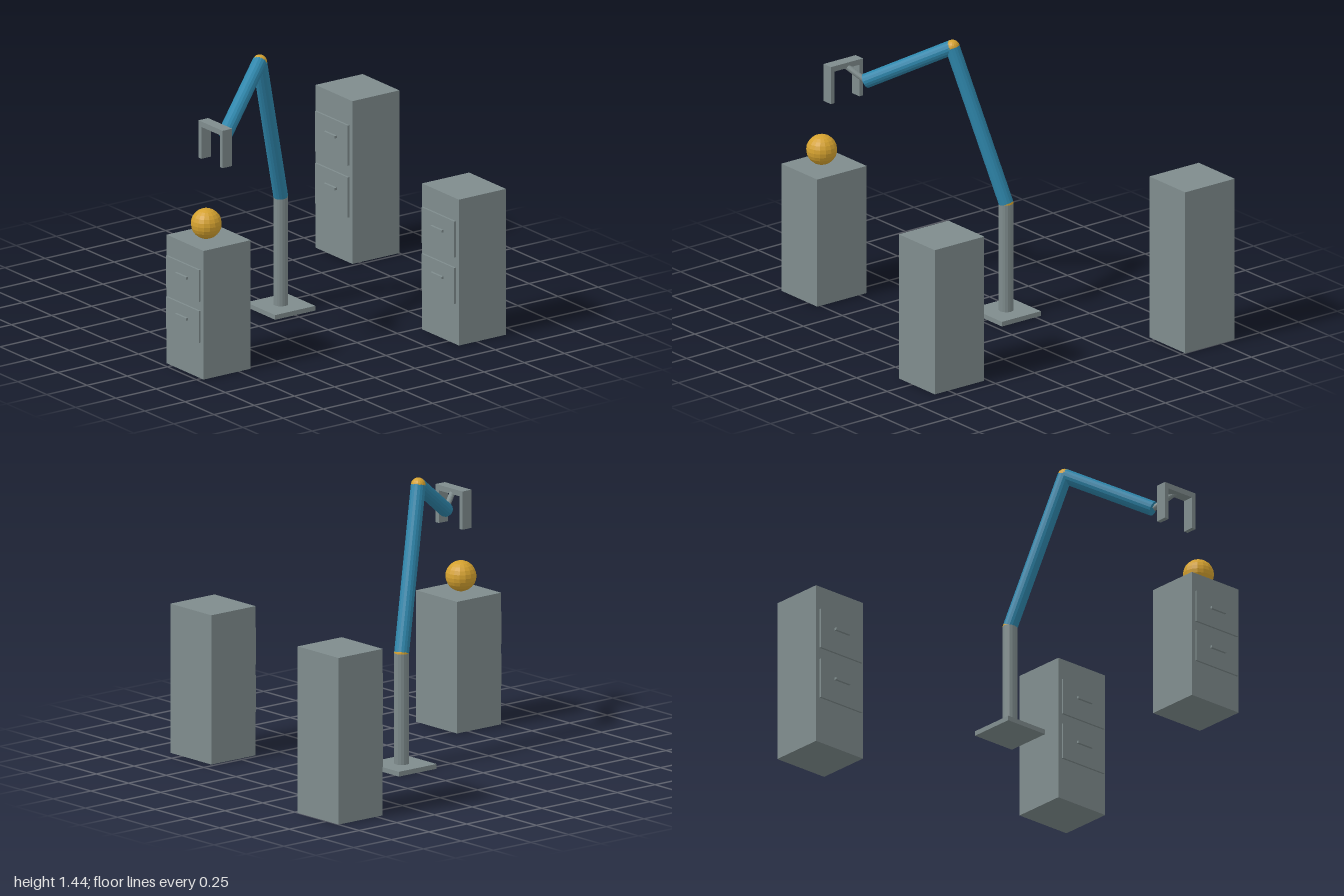
import * as THREE from 'three';

const material = (name, color) => {
  const m = new THREE.MeshStandardMaterial({ color, flatShading: true });
  m.name = name;
  return m;
};

export function createModel() {
  const model = new THREE.Group();
  model.name = 'robotArmWorkcell';
  const grey = material('steelGrey', 0x7f8c8d);
  const blue = material('armBlue', 0x2e86ab);
  const gold = material('jointGold', 0xd4a12f);

  const add = (parent, name, geometry, mat, x, y, z) => {
    const mesh = new THREE.Mesh(geometry, mat);
    mesh.name = name;
    mesh.position.set(x, y, z);
    parent.add(mesh);
    return mesh;
  };
  const box = (parent, name, w, h, d, x, y, z) =>
    add(parent, name, new THREE.BoxGeometry(w, h, d), grey, x, y, z);
  const ball = (parent, name, r, p) =>
    add(parent, name, new THREE.SphereGeometry(r, 16, 12), gold, p.x, p.y, p.z);
  // cylinder running from point a to point b
  const rod = (parent, name, a, b, r, mat) => {
    const dir = b.clone().sub(a);
    const mid = a.clone().add(b).multiplyScalar(0.5);
    const mesh = add(parent, name, new THREE.CylinderGeometry(r, r, dir.length(), 16), mat, mid.x, mid.y, mid.z);
    mesh.quaternion.setFromUnitVectors(new THREE.Vector3(0, 1, 0), dir.normalize());
  };

  // two-drawer cabinets: centre x, front z, height
  const cabinet = (name, x, front, h) => {
    const g = new THREE.Group();
    g.name = name;
    g.position.set(x, 0, front);
    model.add(g);
    box(g, 'cabinetBody', 0.318, h, 0.293, 0, h / 2, -0.1465);
    for (const level of [0.406, 0.725]) {
      box(g, 'drawerFront', 0.283, 0.247 * h, 0.011, 0, level * h, 0.0115);
      box(g, 'drawerHandle', 0.097, 0.013, 0.014, 0, (level + 0.025) * h, 0.023);
    }
  };
  cabinet('backCabinet', -0.681, -0.707, 0.867);
  cabinet('sideCabinet', 0.679, -0.39, 0.777);
  cabinet('frontCabinet', 0.362, 0.97, 0.685);
  ball(model, 'ball', 0.079, new THREE.Vector3(0.364, 0.764, 0.84));

  // arm
  const arm = new THREE.Group();
  arm.name = 'robotArm';
  model.add(arm);
  const foot = new THREE.Vector3(-0.159, 0.025, 0);
  const shoulder = new THREE.Vector3(-0.159, 0.6, 0);
  const elbow = new THREE.Vector3(-0.005, 1.405, 0.242);
  const wrist = new THREE.Vector3(0.242, 1.165, 0.635);
  const hand = new THREE.Vector3(0.304, 1.24, 0.74);
  box(arm, 'basePlate', 0.25, 0.025, 0.25, -0.159, 0.0125, 0);
  rod(arm, 'column', foot, shoulder, 0.038, grey);
  ball(arm, 'shoulderJoint', 0.038, shoulder);
  rod(arm, 'upperArm', shoulder, elbow, 0.038, blue);
  ball(arm, 'elbowJoint', 0.038, elbow);
  rod(arm, 'forearm', elbow, wrist, 0.038, blue);
  rod(arm, 'wristLink', wrist, hand, 0.015, grey);

  // gripper
  const gripper = new THREE.Group();
  gripper.name = 'gripper';
  gripper.position.copy(hand);
  arm.add(gripper);
  box(gripper, 'gripperBar', 0.207, 0.029, 0.06, 0, 0, 0);
  for (const side of [-1, 1])
    box(gripper, 'gripperFinger', 0.024, 0.17, 0.06, side * 0.0915, -0.0995, 0);

  return model;
}
